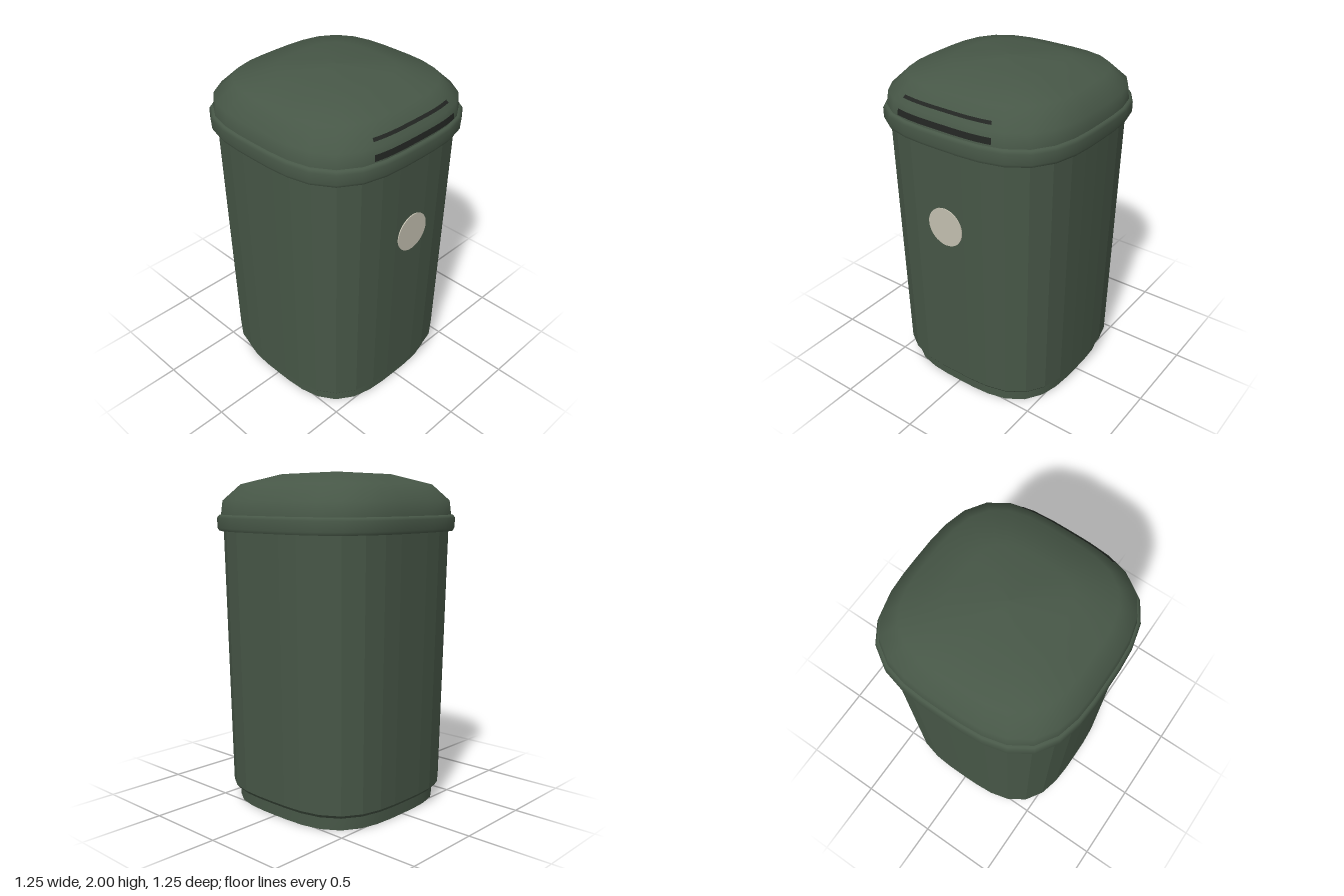
import * as THREE from 'three';

const SIDES = 32;
const POWER = 3.25;

const green = new THREE.MeshStandardMaterial({ color: 0x475747 });
green.name = 'dark green';
const black = new THREE.MeshStandardMaterial({ color: 0x222522, side: THREE.DoubleSide });
black.name = 'slot black';
const cream = new THREE.MeshStandardMaterial({ color: 0xc4c0b0 });
cream.name = 'badge cream';

// Point on a rounded-square section of half-width r (angle 0 faces +z)
function sectionPoint(r, angle, y) {
  const s = Math.sin(angle), c = Math.cos(angle);
  const k = r / Math.pow(Math.abs(s) ** POWER + Math.abs(c) ** POWER, 1 / POWER);
  return [s * k, y, c * k];
}

// Stacks rounded-square sections along a [halfWidth, y] profile, bottom to top
function loft(profile, flat) {
  const pos = [], index = [];
  for (const [r, y] of profile) {
    for (let i = 0; i < SIDES; i++) pos.push(...sectionPoint(r, (i / SIDES) * Math.PI * 2, y));
  }
  for (let j = 0; j < profile.length - 1; j++) {
    for (let i = 0; i < SIDES; i++) {
      const n = (i + 1) % SIDES;
      const a = j * SIDES + i, b = j * SIDES + n, c = a + SIDES, d = b + SIDES;
      if (profile[j][0] > 0) index.push(a, b, d);
      if (profile[j + 1][0] > 0) index.push(a, d, c);
      else if (profile[j][0] > 0) index.pop(), index.pop(), index.pop(), index.push(a, b, c);
    }
  }
  let g = new THREE.BufferGeometry();
  g.setAttribute('position', new THREE.Float32BufferAttribute(pos, 3));
  g.setIndex(index);
  if (flat) g = g.toNonIndexed();
  g.computeVertexNormals();
  return g;
}

// Ribbon wrapped round the front of the lid between two [halfWidth, y] rings
function ribbon(low, high, halfLength) {
  const pos = [], index = [], steps = 16;
  const end = Math.atan2(halfLength, low[0] * 0.975);
  for (let i = 0; i <= steps; i++) {
    const a = -end + (2 * end * i) / steps;
    pos.push(...sectionPoint(low[0], a, low[1]), ...sectionPoint(high[0], a, high[1]));
    if (i < steps) {
      const k = i * 2;
      index.push(k, k + 2, k + 3, k, k + 3, k + 1);
    }
  }
  const g = new THREE.BufferGeometry();
  g.setAttribute('position', new THREE.Float32BufferAttribute(pos, 3));
  g.setIndex(index);
  g.computeVertexNormals();
  return g;
}

export function createModel() {
  const model = new THREE.Group();
  model.name = 'litterBin';
  const add = (name, geometry, material) => {
    const m = new THREE.Mesh(geometry, material);
    m.name = name;
    model.add(m);
    return m;
  };

  // Recessed plinth: underside and smooth wall
  add('plinthUnderside', loft([[0, 0], [0.53, 0]], true), green);
  add('plinth', loft([[0.53, 0], [0.53, 0.085]], false), green);

  // Faceted, slightly flared body with a lip underneath
  add('bodyLip', loft([[0.52, 0.08], [0.55, 0.08], [0.565, 0.1]], true), green);
  add('body', loft([[0.565, 0.1], [0.592, 1.66]], true), green);

  // Lid: underside, rounded rim and domed top
  add('lidUnderside', loft([[0.57, 1.655], [0.617, 1.655]], true), green);
  add('lidRim', loft([[0.617, 1.655], [0.625, 1.672], [0.625, 1.73], [0.615, 1.745], [0.602, 1.75]], false), green);
  add('lidDome', loft([[0.605, 1.745], [0.595, 1.83], [0.5, 1.925], [0.29, 1.983], [0, 2]], false), green);

  // Dark edges of the deposit slot
  add('slotLowerEdge', ribbon([0.612, 1.765], [0.606, 1.8], 0.32), black);
  add('slotUpperEdge', ribbon([0.578, 1.857], [0.564, 1.872], 0.3), black);

  // Round badge on a short hidden boss
  const boss = add('badgeBoss', new THREE.CylinderGeometry(0.05, 0.05, 0.03, 16), green);
  boss.rotation.x = Math.PI / 2;
  boss.position.set(0, 1.175, 0.583);
  const badge = add('badge', new THREE.CylinderGeometry(0.117, 0.117, 0.006, 32), cream);
  badge.rotation.x = Math.PI / 2;
  badge.position.set(0, 1.175, 0.6);

  return model;
}
